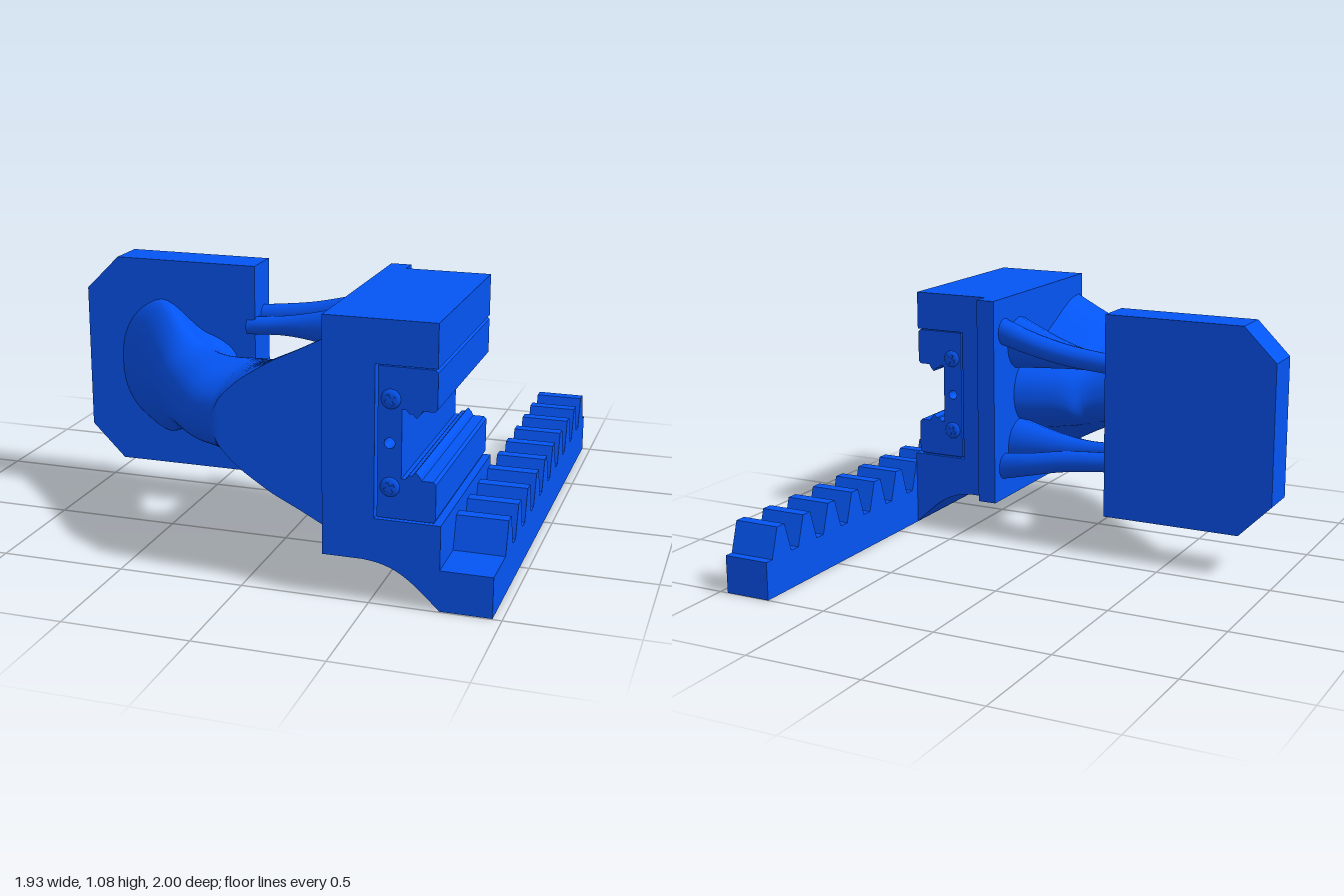
import * as THREE from 'three';
import { toCreasedNormals } from 'three/addons/utils/BufferGeometryUtils.js';

const MID = 0.622; // height of the mirror plane of arm and carriage
const FRONT = 0.955; // flat front of the arm

export function createModel() {
  const model = new THREE.Group();
  model.name = 'rackBracket';
  const material = new THREE.MeshStandardMaterial({ color: 0x0455f5 });

  const add = (name, geometry, x = 0, y = 0, z = 0) => {
    const mesh = new THREE.Mesh(geometry, material);
    mesh.name = name;
    mesh.position.set(x, y, z);
    model.add(mesh);
    return mesh;
  };
  const box = (name, x0, x1, y0, y1, z0, z1) =>
    add(name, new THREE.BoxGeometry(x1 - x0, y1 - y0, z1 - z0), (x0 + x1) / 2, (y0 + y1) / 2, (z0 + z1) / 2);
  const polygon = (pts) => new THREE.Shape(pts.map(([x, y]) => new THREE.Vector2(x, y)));
  const extrude = (shape, depth) =>
    new THREE.ExtrudeGeometry(shape, { depth, bevelEnabled: false, curveSegments: 12 });

  // Skin over closed rings of equal length, with capped ends
  const loft = (rings) => {
    const n = rings[0].length;
    const pos = rings.flat().flatMap((p) => [p.x, p.y, p.z]);
    const index = [];
    for (let i = 0; i < rings.length - 1; i++) {
      for (let j = 0; j < n; j++) {
        const a = i * n + j, b = i * n + ((j + 1) % n);
        index.push(a, b, a + n, b, b + n, a + n);
      }
    }
    const last = (rings.length - 1) * n;
    for (let j = 1; j < n - 1; j++) index.push(0, j + 1, j, last, last + j, last + j + 1);
    const g = new THREE.BufferGeometry();
    g.setAttribute('position', new THREE.Float32BufferAttribute(pos, 3));
    g.setIndex(index);
    return toCreasedNormals(g, 0.7);
  };

  // Mounting plate with two clipped corners
  add('mountingPlate', extrude(polygon([
    [-0.965, 0.322], [-0.823, 0.18], [-0.213, 0.18], [-0.213, 1.063], [-0.823, 1.063], [-0.965, 0.922],
  ]), 0.17), 0, 0, 0.09);

  // Slotted block with a curved foot that carries the rack
  const block = new THREE.Shape();
  block.moveTo(0.317, 0.167);
  block.lineTo(0.47, 0.167);
  block.bezierCurveTo(0.6, 0.16, 0.65, 0.11, 0.765, 0);
  [[0.765, 0.33], [0.515, 0.33], [0.515, 0.912], [0.744, 0.912], [0.744, 1.077], [0.317, 1.077]]
    .forEach(([x, y]) => block.lineTo(x, y));
  add('slottedBlock', toCreasedNormals(extrude(block, 0.828), 0.5), 0, 0, 0.164);
  box('backFlange', 0.317, 0.4, 0.167, 1.077, 0.09, 0.17);

  // Toothed rack
  box('rackBar', 0.764, 0.964, 0, 0.16, -1, 0.995);
  const toothShape = polygon([[-0.066, 0], [0.066, 0], [0.025, 0.127], [-0.025, 0.127]]);
  const toothGeometry = extrude(toothShape, 0.2);
  for (let i = 0; i < 10; i++) {
    add('rackTooth', toothGeometry, 0.764, 0.159, 0.725 - i * 0.18).rotation.y = Math.PI / 2;
  }

  // Slide carriage: C profile, ridged jaws and a through hole
  const half = [
    [0.615, 0.13], [0.63, 0.13], [0.642, 0.115], [0.655, 0.115], [0.668, 0.1], [0.682, 0.115],
    [0.69, 0.13], [0.734, 0.13], [0.744, 0.14], [0.744, 0.275], [0.734, 0.285], [0.525, 0.285],
  ];
  const carriage = polygon([
    ...half.map(([x, y]) => [x, MID + y]),
    ...half.slice().reverse().map(([x, y]) => [x, MID - y]),
  ]);
  const hole = new THREE.Path();
  hole.absarc(0.57, MID, 0.02, 0, Math.PI * 2, true);
  carriage.holes.push(hole);
  add('slideCarriage', extrude(carriage, 0.82), 0, 0, 0.168);

  // Thin ties from carriage to block
  for (const y of [0.333, 0.909]) box('carriageTie', 0.535, 0.735, y - 0.005, y + 0.005, 0.18, 0.97);

  // Domed end screws with a cross
  for (const s of [-1, 1]) {
    for (const [z, out] of [[0.168, -1], [0.988, 1]]) {
      const y = MID + s * 0.165;
      add('screwHead', new THREE.SphereGeometry(0.037, 24, 12), 0.573, y, z).scale.z = 0.36;
      for (const turn of [0.5, 0.5 + Math.PI / 2]) {
        add('screwCross', new THREE.BoxGeometry(0.042, 0.011, 0.006), 0.573, y, z + out * 0.0115).rotation.z = turn;
      }
    }
  }

  // Organic arm: outer and inner edges as (x, z, half height), cut flat at the front
  const curve = (pts) => new THREE.CatmullRomCurve3(pts.map((p) => new THREE.Vector3(...p)));
  const outer = curve([
    [-0.87, 0.21, 0.29], [-0.72, 0.345, 0.285], [-0.58, 0.5, 0.22], [-0.45, 0.67, 0.17], [-0.29, 0.85, 0.165],
    [-0.125, 0.96, 0.17], [0, 1.15, 0.215], [0.12, 1.3, 0.27], [0.22, 1.32, 0.325], [0.335, 1.32, 0.39],
  ]);
  const inner = curve([
    [-0.28, 0.2, 0.16], [-0.28, 0.34, 0.16], [-0.25, 0.43, 0.165], [-0.2, 0.49, 0.165], [-0.12, 0.505, 0.17],
    [-0.02, 0.49, 0.18], [0.06, 0.45, 0.19], [0.11, 0.38, 0.21], [0.22, 0.32, 0.225], [0.335, 0.27, 0.24],
  ]);
  const { lerp, smoothstep, clamp } = THREE.MathUtils;
  const rings = [];
  for (let i = 0; i <= 72; i++) {
    const o = outer.getPoint(i / 72), n = inner.getPoint(i / 72);
    const cut = Math.acos(1 - 2 * clamp((FRONT - o.y) / (n.y - o.y), 0, 1));
    rings.push(Array.from({ length: 56 }, (_, j) => {
      const a = lerp(cut, Math.PI * 2 - cut, j / 55), u = (1 - Math.cos(a)) / 2, s = Math.sin(a);
      const h = lerp(o.z, n.z, smoothstep(u, 0.3, 0.75));
      return new THREE.Vector3(lerp(o.x, n.x, u), MID - Math.sign(s) * Math.abs(s) ** 0.85 * h, lerp(o.y, n.y, u));
    }));
  }
  add('organicArm', loft(rings));

  // Tapered struts from plate to block, mirrored above and below: path and radius
  const strut = (name, points, radii) => {
    const path = curve(points), size = curve(radii.map((r, i) => [i, r, 0]));
    for (const side of [1, -1]) {
      const tube = [];
      for (let i = 0; i <= 20; i++) {
        const c = path.getPoint(i / 20), r = size.getPoint(i / 20).y;
        tube.push(Array.from({ length: 16 }, (_, j) => {
          const a = (j / 16) * Math.PI * 2;
          return new THREE.Vector3(c.x, MID + side * c.y + r * Math.cos(a), c.z + r * Math.sin(a));
        }));
      }
      add(name, loft(tube));
    }
  };
  strut('rearStrut', [[-0.25, 0.212, 0.15], [0, 0.238, 0.152], [0.18, 0.275, 0.16], [0.335, 0.31, 0.195]],
    [0.042, 0.047, 0.052, 0.06]);
  strut('innerStrut', [[-0.25, 0.185, 0.235], [-0.08, 0.2, 0.245], [0.1, 0.215, 0.275], [0.335, 0.235, 0.34]],
    [0.038, 0.042, 0.07, 0.12]);

  return model;
}
